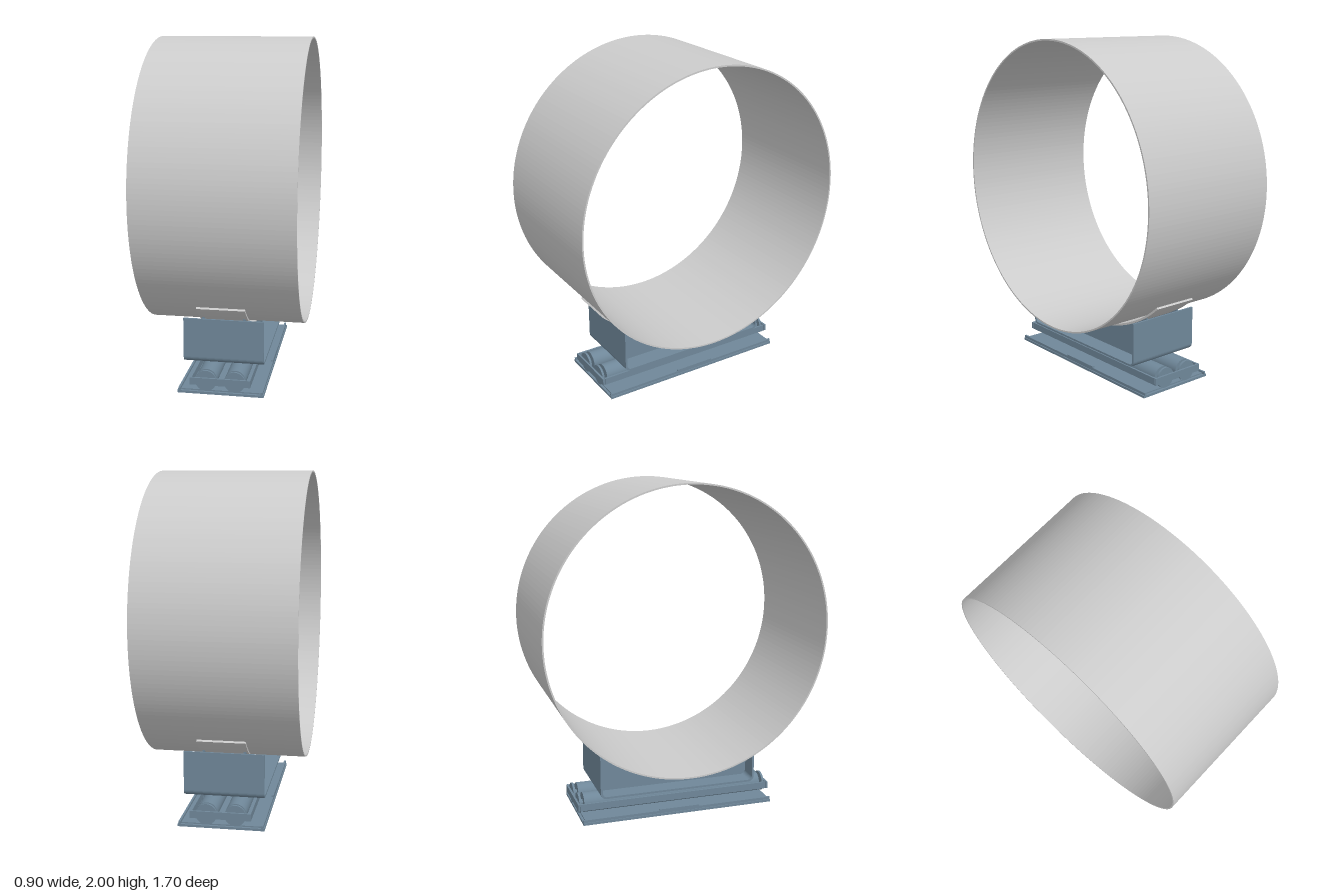
import * as THREE from 'three';

const GREY = new THREE.MeshStandardMaterial({ color: 0xcccccc });
const BLUE = new THREE.MeshStandardMaterial({ color: 0x6f8799 });
const PIPE_Y = 1.15, PIPE_R = 0.85;

function add(parent, name, geometry, material, x = 0, y = 0, z = 0) {
  const mesh = new THREE.Mesh(geometry, material);
  mesh.name = name;
  mesh.position.set(x, y, z);
  parent.add(mesh);
  return mesh;
}

// Extrudes a (z, y) outline along x, centred on x = 0.
function extrudeX(shape, width, curveSegments = 48) {
  const g = new THREE.ExtrudeGeometry(shape, { depth: width, bevelEnabled: false, curveSegments });
  g.translate(0, 0, -width / 2);
  g.rotateY(-Math.PI / 2);
  return g;
}

export function createModel() {
  const model = new THREE.Group();
  model.name = 'pipeOnRollerSupport';

  // Pipe section
  const ring = new THREE.Shape().absarc(0, PIPE_Y, PIPE_R, 0, Math.PI * 2);
  ring.holes.push(new THREE.Path().absarc(0, PIPE_Y, PIPE_R - 0.009, 0, Math.PI * 2, true));
  add(model, 'pipe', extrudeX(ring, 0.9, 96), GREY);

  // Curved bearing pad hugging the underside of the pipe
  const half = 0.735, mid = -Math.PI / 2;
  const pad = new THREE.Shape();
  pad.absarc(0, PIPE_Y, 0.873, mid - half, mid + half);
  pad.absarc(0, PIPE_Y, 0.861, mid + half, mid - half, true);
  pad.closePath();
  add(model, 'bearingPad', extrudeX(pad, 0.28), GREY);

  // Cradle: one plate bent up at both ends
  const cradle = new THREE.Group();
  cradle.name = 'cradle';
  model.add(cradle);
  const w = 0.49, t = 0.012, low = 0.145, top = 0.41, r = 0.035;
  const bent = new THREE.Shape();
  bent.moveTo(-w, top);
  bent.lineTo(-w, low + r);
  bent.absarc(-w + r, low + r, r, Math.PI, Math.PI * 1.5);
  bent.absarc(w - r, low + r, r, -Math.PI / 2, 0);
  bent.lineTo(w, top);
  bent.lineTo(w - t, top);
  bent.absarc(w - r, low + r, r - t, 0, -Math.PI / 2, true);
  bent.absarc(-w + r, low + r, r - t, Math.PI * 1.5, Math.PI, true);
  bent.lineTo(-w + t, top);
  bent.closePath();
  add(cradle, 'bentPlate', extrudeX(bent, 0.47, 8), BLUE);

  // Webs between the bent plate and the pad
  const wi = w - t, a = Math.acos(wi / 0.873);
  const web = new THREE.Shape();
  web.moveTo(-wi, low + r);
  web.lineTo(-wi + r - t, low + t);
  web.lineTo(wi - r + t, low + t);
  web.lineTo(wi, low + r);
  web.absarc(0, PIPE_Y, 0.873, -a, -Math.PI + a, true);
  web.closePath();
  for (const s of [-1, 1]) add(cradle, 'web', extrudeX(web, 0.014), BLUE, s * 0.12);

  // Two rollers with end flanges and axle pins
  const rollers = new THREE.Group();
  rollers.name = 'rollers';
  model.add(rollers);
  const cyl = (rad, len) => new THREE.CylinderGeometry(rad, rad, len, 40).rotateX(Math.PI / 2);
  for (const s of [-1, 1]) {
    const x = s * 0.083;
    add(rollers, 'roller', cyl(0.06, 1.14), BLUE, x, 0.081);
    add(rollers, 'axle', cyl(0.018, 1.22), BLUE, x, 0.081);
    for (const e of [-1, 1]) add(rollers, 'rollerFlange', cyl(0.061, 0.013), BLUE, x, 0.081, e * 0.594);
  }

  // Frame that keeps the rollers apart
  const cage = new THREE.Group();
  cage.name = 'rollerCage';
  model.add(cage);
  for (const s of [-1, 1]) {
    add(cage, 'cageSideBar', new THREE.BoxGeometry(0.012, 0.042, 1.2), BLUE, s * 0.169, 0.081);
    add(cage, 'cageEndBar', new THREE.BoxGeometry(0.35, 0.042, 0.012), BLUE, 0, 0.081, s * 0.609);
  }

  // Base plate with raised rims, track and side guides
  const base = new THREE.Group();
  base.name = 'base';
  model.add(base);
  add(base, 'basePlate', new THREE.BoxGeometry(0.5, 0.014, 1.2), BLUE, 0, 0.007);
  add(base, 'track', new THREE.BoxGeometry(0.46, 0.008, 1.17), BLUE, 0, 0.017);
  for (const s of [-1, 1]) {
    add(base, 'sideRim', new THREE.BoxGeometry(0.012, 0.018, 1.2), BLUE, s * 0.238, 0.021);
    add(base, 'sideGuide', new THREE.BoxGeometry(0.014, 0.026, 0.25), BLUE, s * 0.238, 0.026);
  }
  return model;
}
